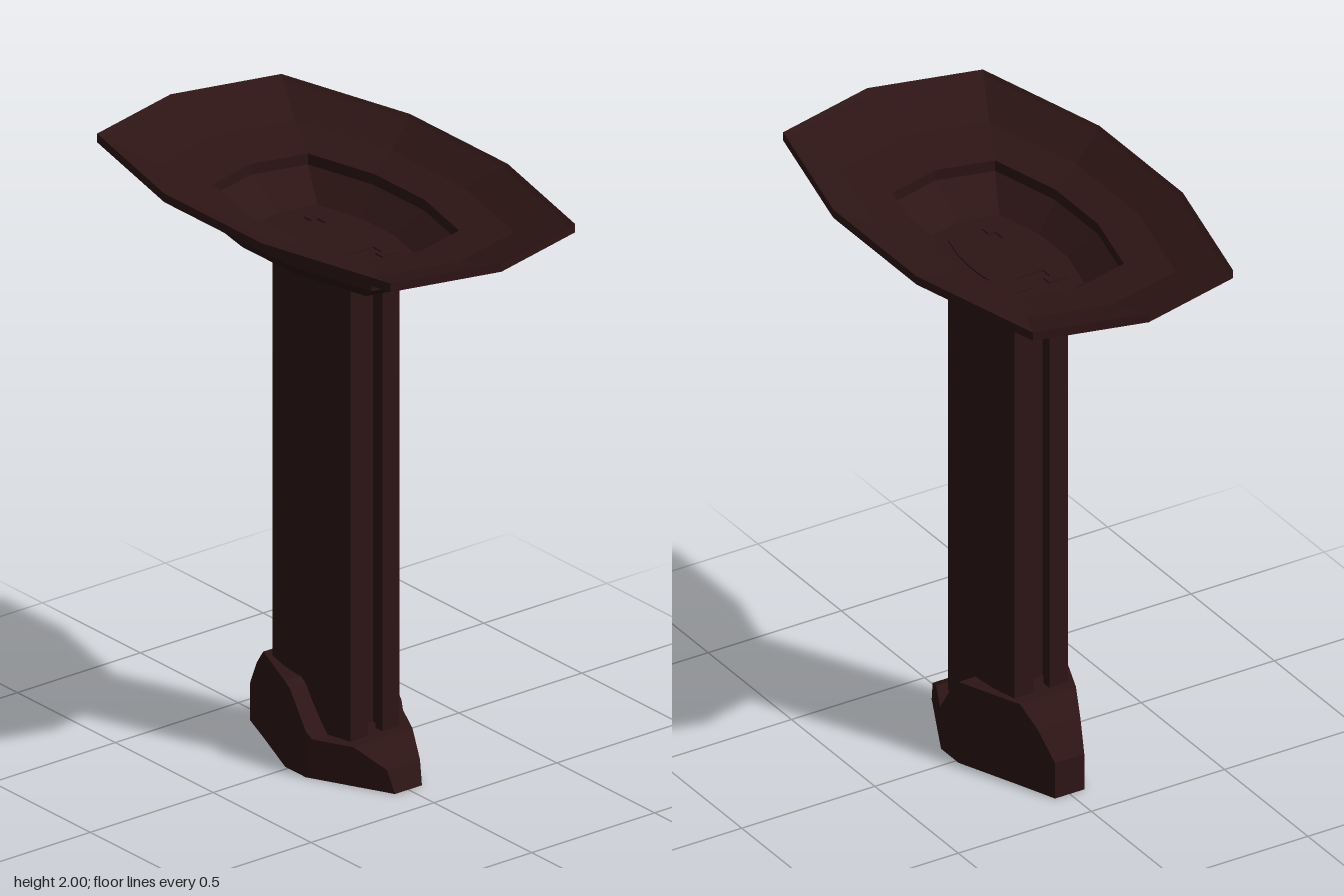
import * as THREE from 'three';

const material = new THREE.MeshStandardMaterial({
  color: 0x2e1515, flatShading: true, side: THREE.DoubleSide,
});

// Skins a series of cross-sections; every section has the same point count.
function loft(rings, closed) {
  const out = [];
  const tri = (a, b, c) => {
    const area = new THREE.Triangle(a, b, c).getArea();
    if (area > 1e-7) out.push(...a.toArray(), ...b.toArray(), ...c.toArray());
  };
  for (let j = 0; j < rings.length - 1; j++) {
    const n = rings[j].length;
    for (let i = 0; i < (closed ? n : n - 1); i++) {
      const k = (i + 1) % n;
      tri(rings[j][i], rings[j][k], rings[j + 1][k]);
      tri(rings[j][i], rings[j + 1][k], rings[j + 1][i]);
    }
  }
  const geometry = new THREE.BufferGeometry();
  geometry.setAttribute('position', new THREE.Float32BufferAttribute(out, 3));
  geometry.computeVertexNormals();
  return geometry;
}

function part(name, geometry) {
  const mesh = new THREE.Mesh(geometry, material);
  mesh.name = name;
  return mesh;
}

// Stepped ten-sided dish: outside from the bottom up, then inside back down
function dish() {
  const outline = [
    [0, 0.845], [0.375, 0.75], [0.5, 0.25], [0.5, -0.25], [0.375, -0.75],
    [0, -0.845], [-0.375, -0.75], [-0.5, -0.25], [-0.5, 0.25], [-0.375, 0.75],
  ];
  const profile = [ // scale of the outline, height
    [0, 1.76], [0.41, 1.76], [0.545, 1.79], [0.65, 1.845], [0.65, 1.867],
    [0.525, 1.867], [0.525, 1.887], [0.76, 1.912], [1, 1.97], [1, 2],
    [0.975, 1.99], [0.745, 1.93], [0.515, 1.9], [0.515, 1.862],
    [0.34, 1.785], [0, 1.785],
  ];
  return loft(profile.map(([s, y]) =>
    outline.map(([x, z]) => new THREE.Vector3(x * s, y, z * s))), true);
}

// Bulged column with a T-shaped groove down the front and back
function column() {
  const quarter = [
    [0.055, 0.12], [0.055, 0.165], [0.03, 0.165], [0.03, 0.2],
    [0.1, 0.2], [0.122, 0.11], [0.13, 0.04],
  ];
  const back = [...quarter].reverse();
  const points = [
    ...quarter, ...back.map(([x, z]) => [x, -z]),
    ...quarter.map(([x, z]) => [-x, -z]), ...back.map(([x, z]) => [-x, z]),
  ].map(([x, z]) => new THREE.Vector2(x, z));
  const geometry = new THREE.ExtrudeGeometry(new THREE.Shape(points), {
    depth: 1.74, bevelEnabled: false,
  });
  return geometry.rotateX(-Math.PI / 2).translate(0, 0.05, 0);
}

// Hollow foot with a tall heel and a low toe, narrowing to both ends
function foot() {
  const stations = [ // z, half width, height
    [-0.37, 0.055, 0], [-0.37, 0.055, 0.13], [-0.305, 0.08, 0.23],
    [-0.24, 0.105, 0.298], [-0.015, 0.195, 0.298], [0.01, 0.195, 0.28],
    [0.09, 0.195, 0.16], [0.11, 0.185, 0.136], [0.24, 0.12, 0.136],
    [0.345, 0.067, 0.078], [0.37, 0.055, 0],
  ];
  return loft(stations.map(([z, w, h]) =>
    [[w, 0], [w, h], [-w, h], [-w, 0]].map(([x, y]) => new THREE.Vector3(x, y, z))), false);
}

export function createModel() {
  const group = new THREE.Group();
  group.name = 'pedestal';
  group.add(part('dish', dish()), part('column', column()), part('foot', foot()));
  return group;
}
